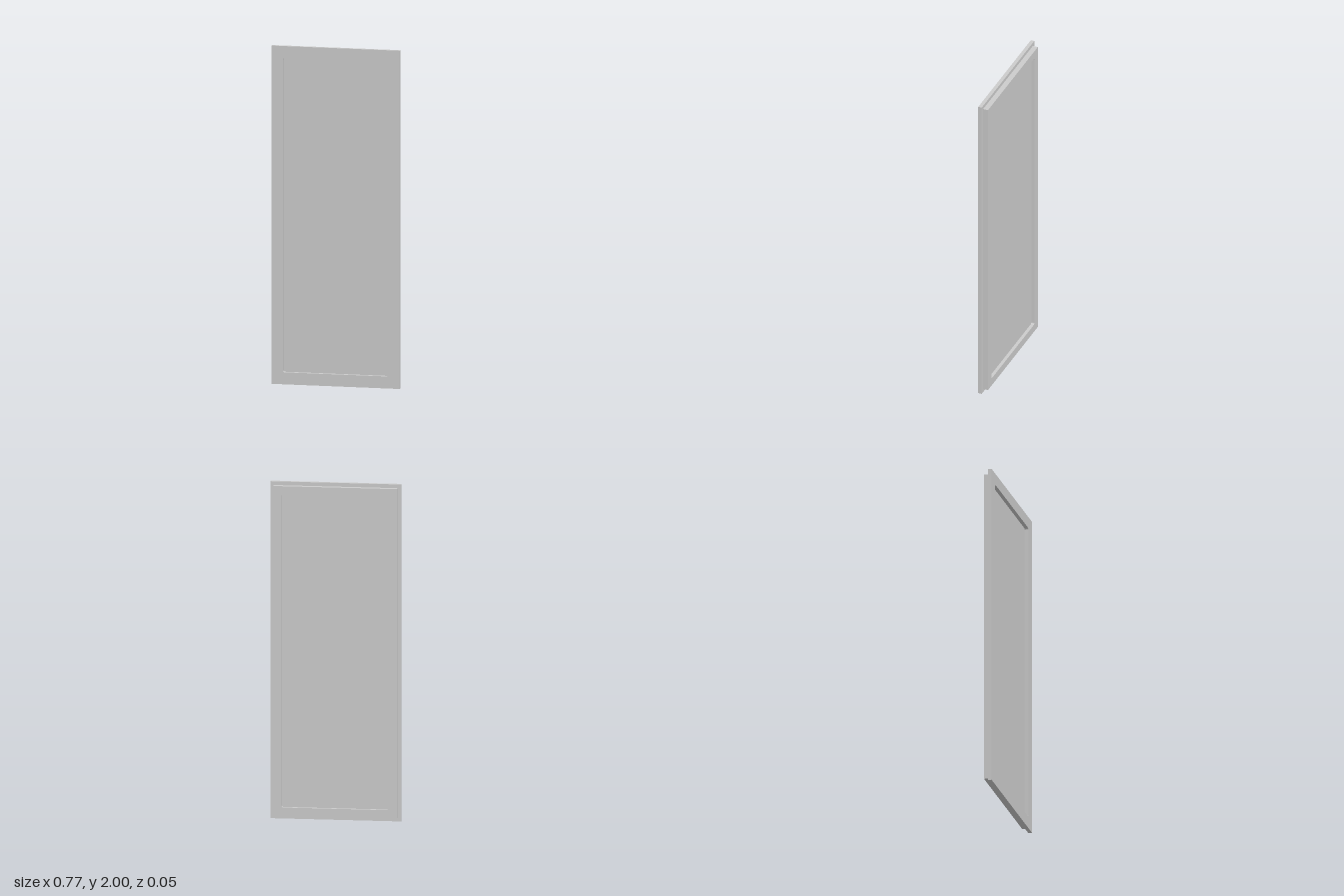
import * as THREE from 'three';

const material = new THREE.MeshStandardMaterial({ color: 0xcccccc, flatShading: true });
const MID = 1.0; // height of the frame centre

// Trace a rectangle with rounded corners, centred on the origin
function roundedRect(path, halfW, halfH, r) {
  path.moveTo(-halfW + r, -halfH);
  path.lineTo(halfW - r, -halfH);
  path.absarc(halfW - r, -halfH + r, r, -Math.PI / 2, 0);
  path.absarc(halfW - r, halfH - r, r, 0, Math.PI / 2);
  path.absarc(-halfW + r, halfH - r, r, Math.PI / 2, Math.PI);
  path.absarc(-halfW + r, -halfH + r, r, Math.PI, Math.PI * 1.5);
  return path;
}

// Rectangular ring with the shared rounded opening, between two depths
function frame(name, halfW, halfH, z0, z1) {
  const shape = new THREE.Shape([
    new THREE.Vector2(-halfW, -halfH), new THREE.Vector2(halfW, -halfH),
    new THREE.Vector2(halfW, halfH), new THREE.Vector2(-halfW, halfH),
  ]);
  shape.holes.push(roundedRect(new THREE.Path(), 0.315, 0.929, 0.01));
  const geo = new THREE.ExtrudeGeometry(shape, { depth: z1 - z0, bevelEnabled: false, curveSegments: 6 });
  const mesh = new THREE.Mesh(geo, material);
  mesh.name = name;
  mesh.position.set(0, MID, z0);
  return mesh;
}

export function createModel() {
  const group = new THREE.Group();
  group.name = 'framedPanel';

  // Wide front flange and the narrower rebate behind it
  group.add(frame('frontFlange', 0.385, 1.0, 0.004, 0.026));
  group.add(frame('backFrame', 0.364, 0.978, -0.027, 0.004));

  // Recessed pane set between the two faces, tucked into the frame
  const pane = new THREE.Mesh(new THREE.BoxGeometry(0.634, 1.862, 0.011), material);
  pane.name = 'pane';
  pane.position.set(0, MID, -0.002);
  group.add(pane);

  return group;
}
